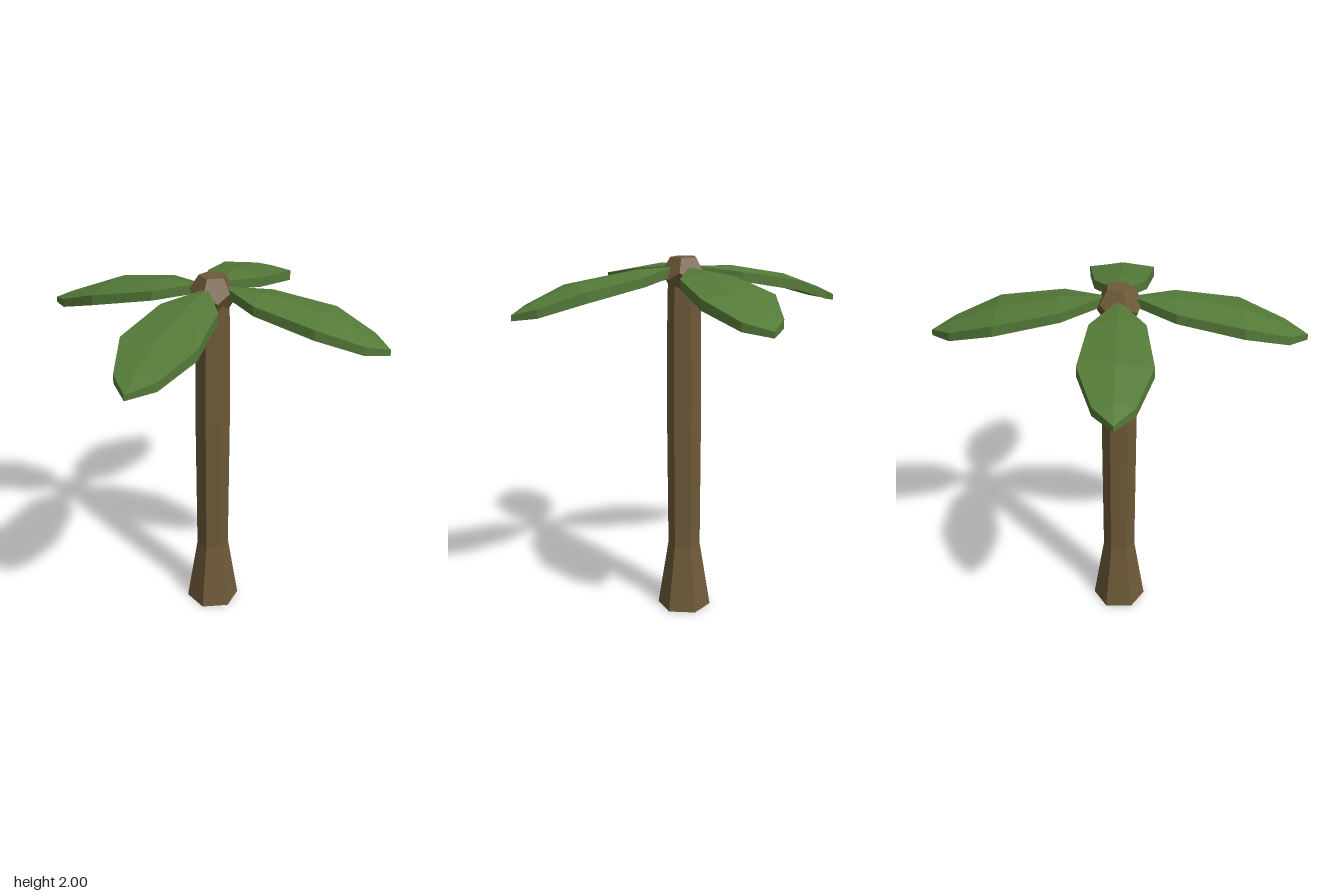
import * as THREE from 'three';

const bark = new THREE.MeshStandardMaterial({ name: 'barkBrown', color: 0x6e5a38, flatShading: true });
const green = new THREE.MeshStandardMaterial({ name: 'leafGreen', color: 0x547a38, flatShading: true });

// Cross-sections along the leaf: distance, half width, ridge y, top edge y, bottom edge y, underside centre y
const SECTIONS = [
  [0.06, 0.0, 1.95, 1.95, 1.9, 1.9],
  [0.28, 0.14, 1.945, 1.92, 1.87, 1.88],
  [0.61, 0.18, 1.885, 1.865, 1.81, 1.825],
  [0.84, 0.1, 1.8, 1.785, 1.74, 1.745],
  [0.945, 0.0, 1.75, 1.75, 1.72, 1.72],
];

// A thick, ridged, drooping leaf pointing along +x
function leafGeometry(lengthScale, widthScale) {
  const positions = [];
  const index = [];
  for (const [d, w, ridge, top, bottom, under] of SECTIONS) {
    const x = d * lengthScale, z = w * widthScale;
    positions.push(x, ridge, 0, x, top, z, x, bottom, z, x, under, 0, x, bottom, -z, x, top, -z);
  }
  for (let s = 0; s < SECTIONS.length - 1; s++) {
    for (let j = 0; j < 6; j++) {
      const a = s * 6 + j, b = s * 6 + (j + 1) % 6;
      index.push(a, b, a + 6, b, b + 6, a + 6);
    }
  }
  const indexed = new THREE.BufferGeometry();
  indexed.setAttribute('position', new THREE.Float32BufferAttribute(positions, 3));
  indexed.setIndex(index);
  const geometry = indexed.toNonIndexed();
  geometry.computeVertexNormals();
  return geometry;
}

export function createModel() {
  const model = new THREE.Group();
  model.name = 'palmTree';

  // Six-sided trunk with a flared foot
  const profile = [[0, 0], [0.15, 0], [0.09, 0.38], [0.095, 1.2], [0.09, 1.75], [0.085, 1.9]]
    .map(([r, y]) => new THREE.Vector2(r, y));
  const trunk = new THREE.Mesh(new THREE.LatheGeometry(profile, 6), bark);
  trunk.name = 'trunk';
  model.add(trunk);

  // Faceted knob on top, turned so that one face points up
  const knob = new THREE.Mesh(new THREE.DodecahedronGeometry(0.12), bark);
  knob.name = 'crownKnob';
  knob.rotation.x = -Math.atan(0.618);
  knob.position.y = 1.905;
  model.add(knob);

  // Four leaves; the front and back pair is slightly larger
  const sideLeaf = leafGeometry(1, 1);
  const frontLeaf = leafGeometry(1.026, 1.11);
  ['leftLeaf', 'backLeaf', 'rightLeaf', 'frontLeaf'].forEach((name, i) => {
    const leaf = new THREE.Mesh(i % 2 ? frontLeaf : sideLeaf, green);
    leaf.name = name;
    leaf.rotation.y = i * Math.PI / 2;
    model.add(leaf);
  });

  return model;
}
